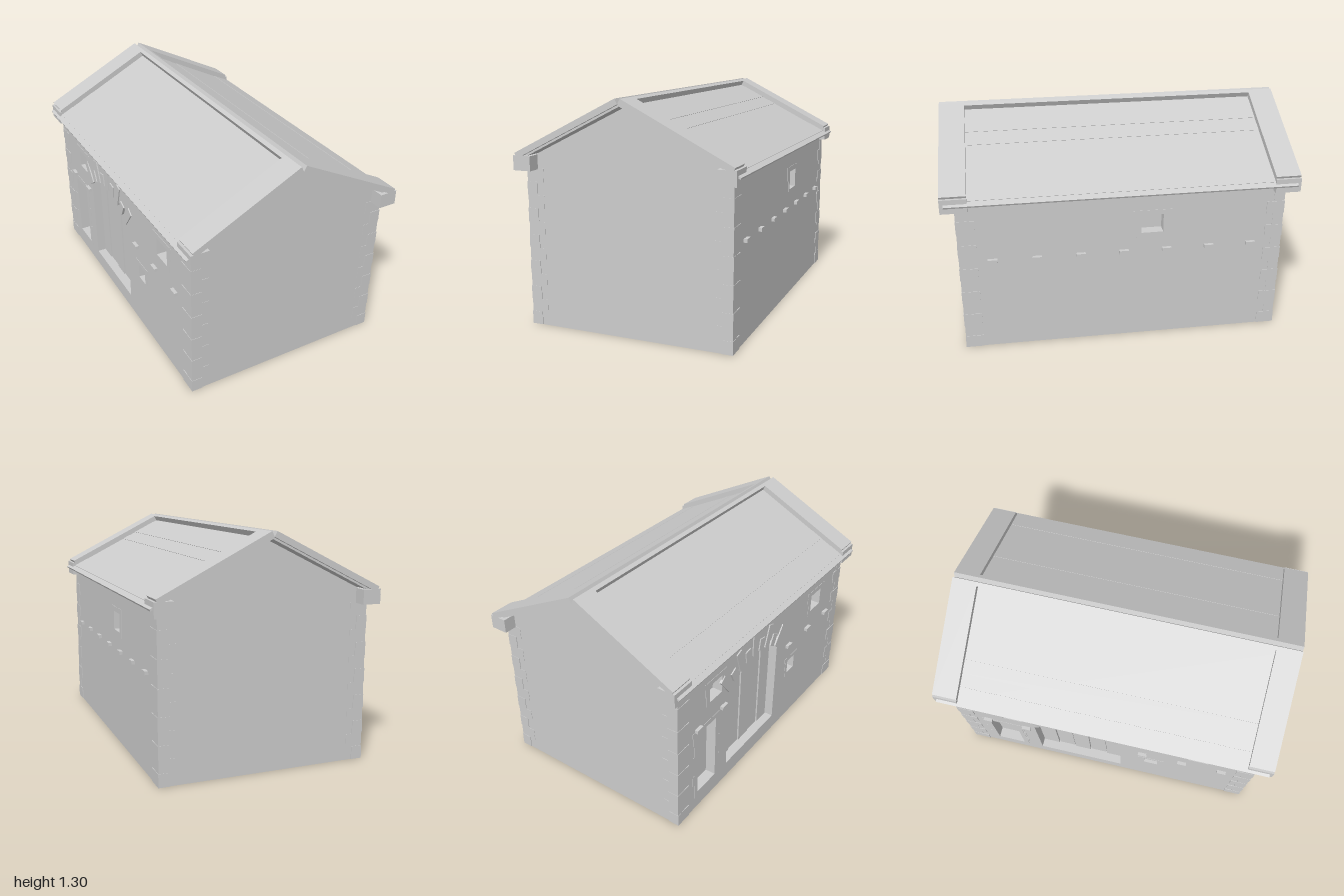
import * as THREE from 'three';

const stone = new THREE.MeshStandardMaterial({ color: 0xcccccc, side: THREE.DoubleSide });
stone.name = 'pale stone';

const W = 0.6, D = 0.925, EAVE = 0.95;      // half width, half depth, wall height
const APEX = 1.272, A = Math.atan(0.505);   // roof ridge height and pitch

function add(parent, name, geometry) {
  const mesh = new THREE.Mesh(geometry, stone);
  mesh.name = name;
  parent.add(mesh);
  return mesh;
}

// Box given by its limits on each axis
function block(parent, name, x0, x1, y0, y1, z0, z1) {
  const g = new THREE.BoxGeometry(Math.abs(x1 - x0), y1 - y0, z1 - z0);
  g.translate((x0 + x1) / 2, (y0 + y1) / 2, (z0 + z1) / 2);
  return add(parent, name, g);
}

// Board lying on a roof slope: s runs down from the ridge, n is height above the slope
function slopeBoard(parent, name, side, s0, s1, n0, n1, z0, z1) {
  const pts = [[s0, n0], [s1, n0], [s1, n1], [s0, n1]].map(([s, n]) => new THREE.Vector2(
    side * (s * Math.cos(A) + n * Math.sin(A)),
    APEX - s * Math.sin(A) + n * Math.cos(A)));
  const g = new THREE.ExtrudeGeometry(new THREE.Shape(pts), { depth: z1 - z0, bevelEnabled: false });
  g.translate(0, 0, z0);
  return add(parent, name, g);
}

// Long wall with rectangular openings
function sideWall(parent, side, openings) {
  const shape = new THREE.Shape([[-D, 0], [D, 0], [D, EAVE], [-D, EAVE]]
    .map(p => new THREE.Vector2(...p)));
  for (const o of openings) {
    shape.holes.push(new THREE.Path([[o.z0, o.y0], [o.z0, o.y1], [o.z1, o.y1], [o.z1, o.y0]]
      .map(p => new THREE.Vector2(...p))));
  }
  const g = new THREE.ShapeGeometry(shape);
  g.rotateY(-Math.PI / 2);
  g.translate(side * W, 0, 0);
  add(parent, 'sideWall', g);
}

// Stone surround and recessed panel for one opening
function opening(parent, side, o) {
  const group = new THREE.Group();
  group.name = o.name;
  parent.add(group);
  const out = side * (W + 0.002), inn = side * (W - 0.1);
  const { z0, z1, y0, y1, rim } = o;
  block(group, 'lintel', out, inn, y1, y1 + rim, z0 - rim * 1.6, z1 + rim * 1.6);
  block(group, 'sill', out, inn, y0 - rim, y0, z0 - rim, z1 + rim);
  const n = Math.max(1, Math.round((y1 - y0) / 0.07)), h = (y1 - y0) / n;
  for (let i = 0; i < n; i++) {
    const w = i % 2 ? rim * 1.5 : rim;
    block(group, 'jambStone', out, inn, y0 + i * h, y0 + (i + 1) * h, z0 - w, z0);
    block(group, 'jambStone', out, inn, y0 + i * h, y0 + (i + 1) * h, z1, z1 + w);
  }
  block(group, 'recessPanel', side * (W - 0.06), side * (W - 0.07), y0, y1, z0, z1);
}

// Wide doorway: plain reveal, planked door and a fan of arch stones
function bigDoor(parent, side, o) {
  const group = new THREE.Group();
  group.name = 'bigDoor';
  parent.add(group);
  const { z0, z1, y0, y1 } = o, out = side * W, inn = side * (W - 0.075), t = 0.004;
  block(group, 'reveal', out, inn, y0 - t, y0, z0, z1);
  block(group, 'reveal', out, inn, y1, y1 + t, z0, z1);
  block(group, 'reveal', out, inn, y0, y1, z0 - t, z0);
  block(group, 'reveal', out, inn, y0, y1, z1, z1 + t);
  block(group, 'doorBacking', side * (W - 0.065), inn, y0, y1, z0, z1);
  const n = 5, w = (z1 - z0) / n;
  for (let i = 0; i < n; i++) {
    block(group, 'plank', side * (W - 0.052 - (i % 2) * 0.006), side * (W - 0.07),
      y0, y1, z0 + i * w + 0.003, z0 + (i + 1) * w - 0.003);
  }
  const count = 9, zc = (z0 + z1) / 2, pivot = 0.32;
  for (let i = 0; i < count; i++) {
    const r0 = 0.415, r1 = i % 2 ? 0.49 : 0.555;
    const g = new THREE.BoxGeometry(0.014, r1 - r0, 0.05);
    g.translate(0, (r0 + r1) / 2, 0);
    g.rotateX((i - (count - 1) / 2) * 0.165);
    g.translate(side * W, pivot, zc);
    add(group, 'archStone', g);
  }
}

export function createModel() {
  const model = new THREE.Group();
  model.name = 'stoneBarn';

  // Gable walls, stopping just short of the roof
  for (const z of [-D, D]) {
    const gable = new THREE.Shape([[-W, 0], [W, 0], [W, EAVE], [0, 1.25], [-W, EAVE]]
      .map(p => new THREE.Vector2(...p)));
    const g = new THREE.ShapeGeometry(gable);
    g.translate(0, 0, z);
    add(model, 'gableWall', g);
  }

  // Openings of the two long walls
  const rightDoor = { z0: -0.44, z1: 0.105, y0: 0.1, y1: 0.73 };
  const minusSide = [
    { name: 'smallDoor', z0: -0.74, z1: -0.565, y0: 0.11, y1: 0.53, rim: 0.03 },
    { name: 'window', z0: -0.63, z1: -0.51, y0: 0.68, y1: 0.79, rim: 0.03 },
    { name: 'window', z0: 0.525, z1: 0.65, y0: 0.68, y1: 0.79, rim: 0.03 },
    { name: 'smallWindow', z0: 0.26, z1: 0.345, y0: 0.35, y1: 0.44, rim: 0.025 },
  ];
  const plusSide = [{ name: 'window', z0: -0.225, z1: -0.1, y0: 0.68, y1: 0.79, rim: 0.03 }];
  sideWall(model, -1, [...minusSide, rightDoor]);
  sideWall(model, 1, plusSide);
  minusSide.forEach(o => opening(model, -1, o));
  plusSide.forEach(o => opening(model, 1, o));
  bigDoor(model, -1, rightDoor);

  // Projecting beam ends
  for (const side of [-1, 1]) {
    for (let i = -3; i <= 3; i++) {
      const z = i * 0.247;
      if (side < 0 && (i === 0 || i === -1)) continue;
      block(model, 'beamEnd', side * 0.55, side * 0.62, 0.56, 0.58, z - 0.027, z + 0.027);
    }
  }

  // Interlocking corner stones
  const courses = 12, h = 0.9 / courses;
  for (const sx of [-1, 1]) for (const sz of [-1, 1]) {
    for (let i = 0; i < courses; i++) {
      const lx = i % 2 ? 0.1 : 0.06, lz = i % 2 ? 0.06 : 0.1;
      const e = i % 2 ? 0.002 : 0.004;
      const za = sz * (D + e), zb = sz * (D - lz);
      block(model, 'cornerStone', sx * (W + e), sx * (W - lx), i * h, (i + 1) * h,
        Math.min(za, zb), Math.max(za, zb));
    }
  }

  // Roof slopes with thin boards, ridge boards, gable copings and kneeler stones
  const boards = { '-1': [[0.45, 0.535], [0.615, 0.7]], '1': [[0.055, 0.205], [0.255, 0.305], [0.6, 0.7]] };
  for (const side of [-1, 1]) {
    slopeBoard(model, 'roofSlope', side, 0, 0.735, -0.011, 0, -0.98, 0.98);
    for (const [s0, s1] of boards[side]) {
      slopeBoard(model, 'roofBoard', side, s0, s1, 0, 0.002, -0.86, 0.86);
    }
    slopeBoard(model, 'ridgeBoard', side, 0, 0.025, 0, 0.033, -0.86, 0.86);
    for (const sz of [-1, 1]) {
      const z0 = sz > 0 ? 0.855 : -1;
      slopeBoard(model, 'gableCoping', side, 0, 0.69, 0, 0.033, z0, z0 + 0.145);
      block(model, 'kneelerStone', side * 0.535, side * 0.64, 0.895, 0.977, z0, z0 + 0.145);
    }
  }
  return model;
}
